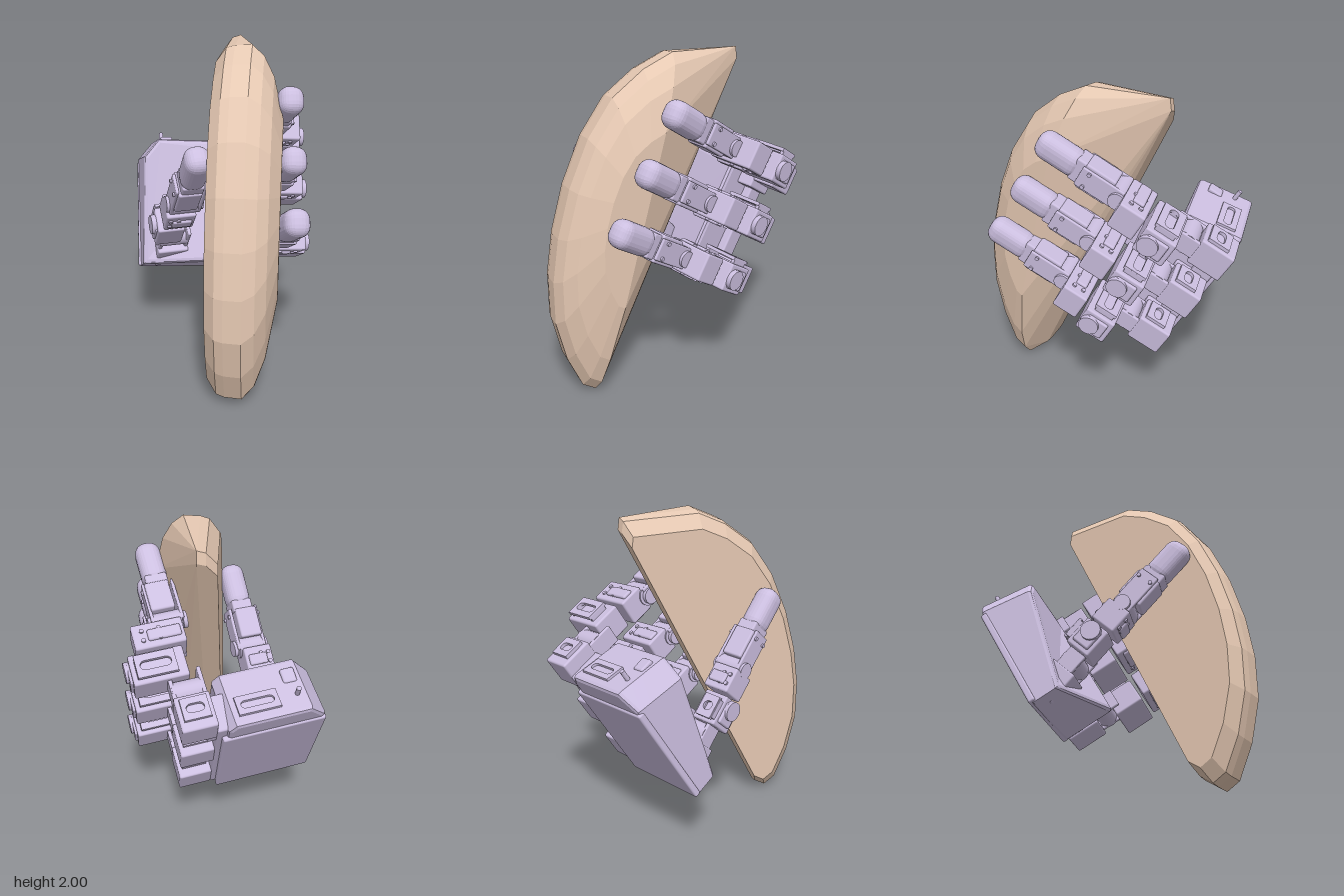
import * as THREE from 'three';
import { RoundedBoxGeometry } from 'three/addons/geometries/RoundedBoxGeometry.js';
import { ConvexGeometry } from 'three/addons/geometries/ConvexGeometry.js';

const shell = new THREE.MeshStandardMaterial({ color: 0xccbfe0 });
const facetedShell = new THREE.MeshStandardMaterial({ color: 0xccbfe0, flatShading: true });
const tan = new THREE.MeshStandardMaterial({ color: 0xe6c9b3, flatShading: true });

function add(parent, name, geometry, x = 0, y = 0, z = 0, material = shell) {
  const mesh = new THREE.Mesh(geometry, material);
  mesh.name = name;
  mesh.position.set(x, y, z);
  parent.add(mesh);
  return mesh;
}

// Box given by its x and z ranges and its height, centred on y
function block(parent, name, x0, x1, h, z0, z1, y = 0, r = 0.012) {
  const geo = new RoundedBoxGeometry(x1 - x0, h, z1 - z0, 2, r);
  return add(parent, name, geo, (x0 + x1) / 2, y, (z0 + z1) / 2);
}

// Cylinder lying along x
function disc(parent, name, radius, length, x, y, z) {
  const geo = new THREE.CylinderGeometry(radius, radius, length, 20).rotateZ(Math.PI / 2);
  return add(parent, name, geo, x, y, z);
}

// Flat plate in the x-z plane with a rounded slot through it
function slottedPlate(parent, name, w, d, x, y, z, t = 0.02) {
  const s = new THREE.Shape();
  s.moveTo(-w / 2, -d / 2).lineTo(w / 2, -d / 2).lineTo(w / 2, d / 2).lineTo(-w / 2, d / 2).closePath();
  const r = d * 0.2, l = w / 2 - r - 0.025;
  const hole = new THREE.Path();
  hole.absarc(l, 0, r, -Math.PI / 2, Math.PI / 2);
  hole.absarc(-l, 0, r, Math.PI / 2, Math.PI * 1.5);
  hole.closePath();
  s.holes.push(hole);
  const geo = new THREE.ExtrudeGeometry(s, { depth: t, bevelEnabled: false, curveSegments: 6 });
  geo.translate(0, 0, -t / 2).rotateX(Math.PI / 2);
  return add(parent, name, geo, x, y, z);
}

// Finger pointing along +z with its pad at the origin; side is where the motors stick out
function makeFinger(name, side, reach) {
  const g = new THREE.Group();
  g.name = name;
  const span = (label, a, b, ...rest) =>
    block(g, label, Math.min(a * side, b * side), Math.max(a * side, b * side), ...rest);

  // Soft fingertip
  add(g, 'fingertip', new RoundedBoxGeometry(0.15, 0.165, 0.29, 3, 0.065), 0, 0, 0, facetedShell);
  span('fingertipCollar', -0.065, 0.065, 0.15, -0.18, -0.1);

  // Distal link with side cheeks
  span('distalLink', -0.06, 0.08, 0.17, -0.35, -0.16);
  for (const s of [-1, 1]) {
    block(g, 'distalCheek', s * 0.085 - 0.01, s * 0.085 + 0.01, 0.13, -0.42, -0.15, 0, 0.008);
    disc(g, 'distalHorn', 0.05, 0.025, s * 0.1, 0, -0.4);
    for (const y of [-0.045, 0.045]) disc(g, 'screw', 0.012, 0.012, s * 0.1, y, -0.2);
  }
  disc(g, 'distalJoint', 0.065, 0.16, 0, 0, -0.4);

  // Middle motor and the crosswise motor behind it
  span('middleMotor', -0.07, reach * 0.8, 0.17, -0.58, -0.42);
  span('middleRib', -0.05, reach * 0.5, 0.2, -0.54, -0.47);
  span('crossMotor', -0.03, reach, 0.17, -0.79, -0.6);
  span('crossMotorCap', reach - 0.03, reach + 0.015, 0.12, -0.76, -0.63);
  slottedPlate(g, 'topBracket', reach * 0.8, 0.14, side * reach * 0.5, 0.115, -0.7);
  for (const x of [0.14, 0.86])
    span('bracketPost', reach * x - 0.012, reach * x + 0.012, 0.05, -0.76, -0.64, 0.095, 0.004);
  for (const [x, z] of [[0.25, -0.47], [0.25, -0.53], [0.6, -0.47], [0.6, -0.53]])
    add(g, 'bolt', new THREE.CylinderGeometry(0.013, 0.013, 0.19, 10), side * reach * x, 0, z);
  disc(g, 'middleHorn', 0.06, 0.03, side * (reach + 0.015), 0, -0.66);

  // Neck and base motor
  disc(g, 'baseJoint', 0.065, 0.18, 0, 0, -0.85);
  for (const s of [-1, 1])
    block(g, 'neckPlate', s * 0.085 - 0.012, s * 0.085 + 0.012, 0.12, -0.98, -0.74, 0, 0.008);
  span('baseMotor', -0.1, 0.1, 0.18, -1.12, -0.91);
  slottedPlate(g, 'baseBracket', 0.15, 0.13, 0, 0.1, -1.0);
  return g;
}

// Palm housing, chamfered, shallower toward the thumb's lower corner
function makePalm() {
  const outline = new THREE.Shape([
    [-0.54, 0.03], [-0.03, 0.03], [-0.03, 0.8], [-0.06, 0.84], [-0.47, 0.84], [-0.55, 0.74],
  ].map(([x, y]) => new THREE.Vector2(x, y)));
  const geo = new THREE.ExtrudeGeometry(outline, {
    depth: 0.31, bevelSize: 0.025, bevelThickness: 0.025, bevelSegments: 2, steps: 4,
  });
  geo.translate(0, 0, 0.025);
  const p = geo.attributes.position;
  for (let i = 0; i < p.count; i++) {
    const x = p.getX(i), y = p.getY(i), z = p.getZ(i);
    const t = y / 0.86, left = -x / 0.58;
    p.setZ(i, z * (1 - 0.55 * (1 - t) * left));
    if (y > 0.6) p.setY(i, y - z * 0.17);
  }
  geo.computeVertexNormals();
  return geo;
}

// Convex wedge: a D outline repeated at several thicknesses
function makeWedge() {
  const front = [
    [0.61, 0], [0.69, 0.05], [0.78, 0.25], [0.84, 0.5], [0.84, 0.76], [0.8, 1.02],
    [0.72, 1.3], [0.6, 1.57], [0.45, 1.78], [0.26, 1.92], [0.08, 2],
  ];
  const back = [[-0.4, 1.99], [-0.41, 1.92], [0.53, 0.05]];
  const levels = [ // x, scale, scale centre z and y, include the back edge
    [-0.03, 0.9, 0.07, 0.97, true], [0.03, 0.98, 0.07, 0.97, true], [0.08, 0.995, 0.07, 0.97, true],
    [0.18, 1, 0.4, 1, false], [0.25, 0.93, 0.38, 1.15, false],
    [0.31, 0.79, 0.38, 1.2, false], [0.37, 0.5, 0.36, 1.2, false],
  ];
  const points = [];
  for (const [x, s, cz, cy, withBack] of levels)
    for (const [z, y] of withBack ? [...front, ...back] : front)
      points.push(new THREE.Vector3(x, cy + (y - cy) * s, cz + (z - cz) * s));
  return new ConvexGeometry(points);
}

export function createModel() {
  const model = new THREE.Group();
  model.name = 'grippingHand';
  add(model, 'heldWedge', makeWedge(), 0, 0, 0, tan);

  // Hand frame: origin at the palm's lower back corner, +z along the fingers
  const hand = new THREE.Group();
  hand.name = 'hand';
  hand.position.set(-0.03, 0.4, -0.36);
  hand.rotation.set(-0.53, 0.35, -0.1, 'YXZ');
  model.add(hand);
  add(hand, 'palm', makePalm());
  block(hand, 'backPlate', -0.58, 0.02, 0.72, -0.012, 0.03, 0.37);

  // Fittings on top of the palm
  add(hand, 'topPost', new THREE.CylinderGeometry(0.014, 0.014, 0.1, 12), -0.43, 0.86, 0.12);
  block(hand, 'cableSocket', -0.46, -0.38, 0.06, 0.2, 0.29, 0.81);
  slottedPlate(hand, 'topCover', 0.24, 0.12, -0.2, 0.85, 0.12).rotation.x = 0.17;

  // Three fingers stacked along the palm's edge, each with its mount
  for (let i = 0; i < 3; i++) {
    const y = 0.81 - i * 0.35;
    const finger = makeFinger('finger' + (i + 1), 1, 0.28);
    finger.position.set(0.145, y, 1.145);
    hand.add(finger);
    block(hand, 'fingerMount', -0.06, 0.1, 0.14, 0.03, 0.24, Math.min(y, 0.74));
  }
  block(hand, 'fingerRail', -0.02, 0.05, 0.78, 0.02, 0.14, 0.42);

  // Thumb on the other side, aimed from the palm to the wedge
  const thumb = makeFinger('thumb', -1, 0.14);
  const dir = new THREE.Vector3(0.24, 0.7, 0.59).normalize();
  const across = new THREE.Vector3(0.92, 0, -0.37);
  const up = new THREE.Vector3().crossVectors(dir, across).normalize();
  across.crossVectors(up, dir);
  thumb.quaternion.setFromRotationMatrix(new THREE.Matrix4().makeBasis(across, up, dir));
  thumb.position.set(-0.11, 1.37, 0.45);
  model.add(thumb);
  return model;
}
